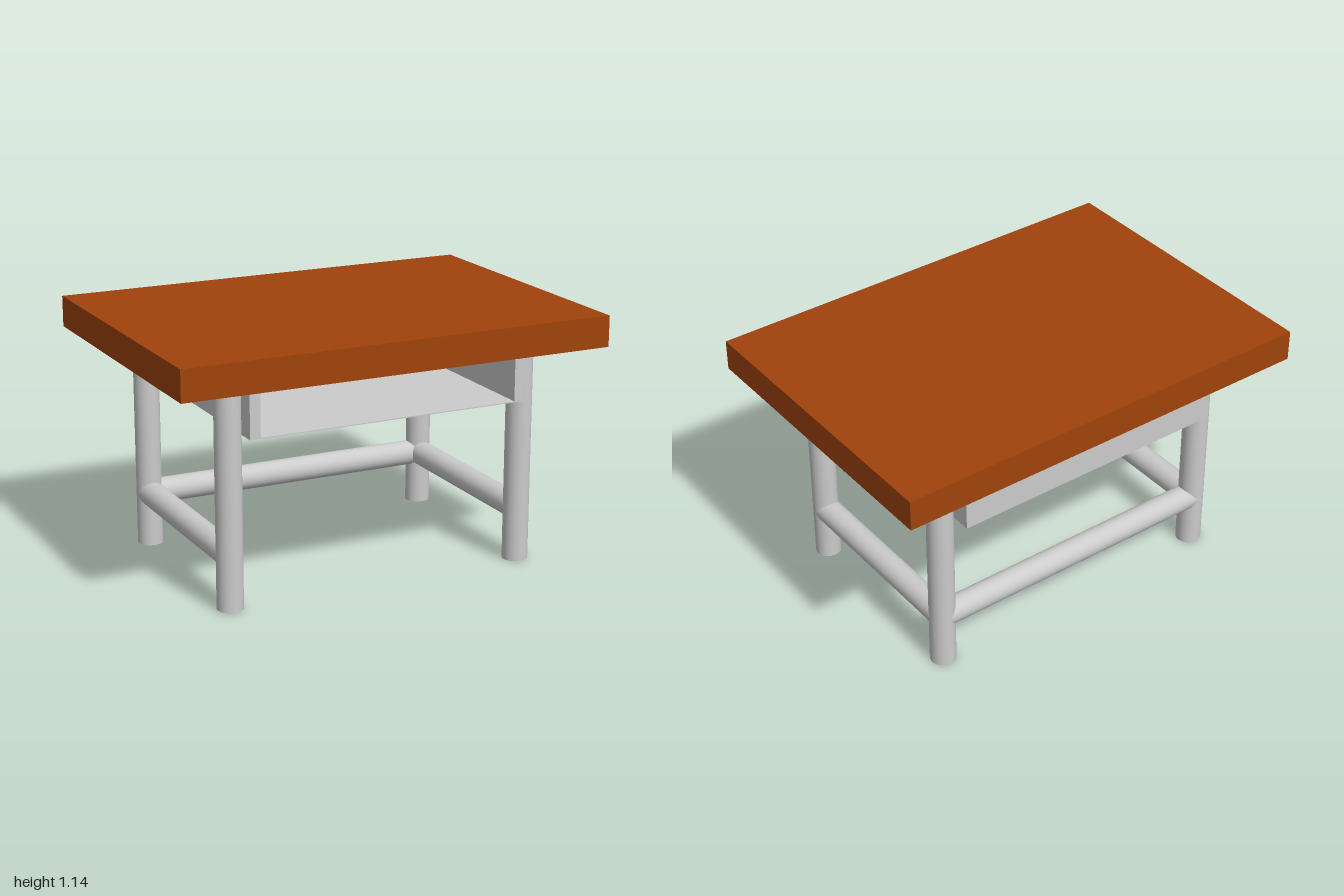
import * as THREE from 'three';

export function createModel() {
  const model = new THREE.Group();
  model.name = 'desk';
  const grey = new THREE.MeshStandardMaterial({ color: 0xcccccc });
  const wood = new THREE.MeshStandardMaterial({ color: 0xa0430c });

  function add(name, geometry, material, x, y, z) {
    const mesh = new THREE.Mesh(geometry, material);
    mesh.name = name;
    mesh.position.set(x, y, z);
    model.add(mesh);
    return mesh;
  }
  const box = (name, w, h, d, x, y, z, material = grey) =>
    add(name, new THREE.BoxGeometry(w, h, d), material, x, y, z);
  const rod = (name, length, x, y, z) =>
    add(name, new THREE.CylinderGeometry(0.058, 0.058, length, 32), grey, x, y, z);

  const legX = 0.7, legZ = 0.46, railY = 0.242;

  // Thick wooden top
  box('tabletop', 2, 0.14, 1.4, 0, 1.072, 0, wood);

  // Four round legs, with a rail joining each front and back pair
  for (const side of [1, -1]) {
    const label = side > 0 ? 'left' : 'right';
    rod(label + 'FrontLeg', 1.002, side * legX, 0.501, legZ);
    rod(label + 'BackLeg', 1.002, side * legX, 0.501, -legZ);
    rod(label + 'Rail', 2 * legZ, side * legX, railY, 0).rotation.x = Math.PI / 2;
  }

  // Rail across the back
  rod('backRail', 2 * legX, 0, railY, -legZ).rotation.z = Math.PI / 2;

  // Tray under the top, open at the front
  const bottom = 0.77, height = 0.232, depth = 1.165, wall = 0.048;
  const midY = bottom + height / 2;
  for (const side of [1, -1]) {
    box(side > 0 ? 'leftTrayWall' : 'rightTrayWall', wall, height, depth, side * 0.628, midY, -0.003);
  }
  box('trayBack', 1.208, height, wall, 0, midY, -0.5615);
  box('trayFloor', 1.208, 0.005, depth, 0, bottom + 0.0025, -0.003);

  return model;
}
